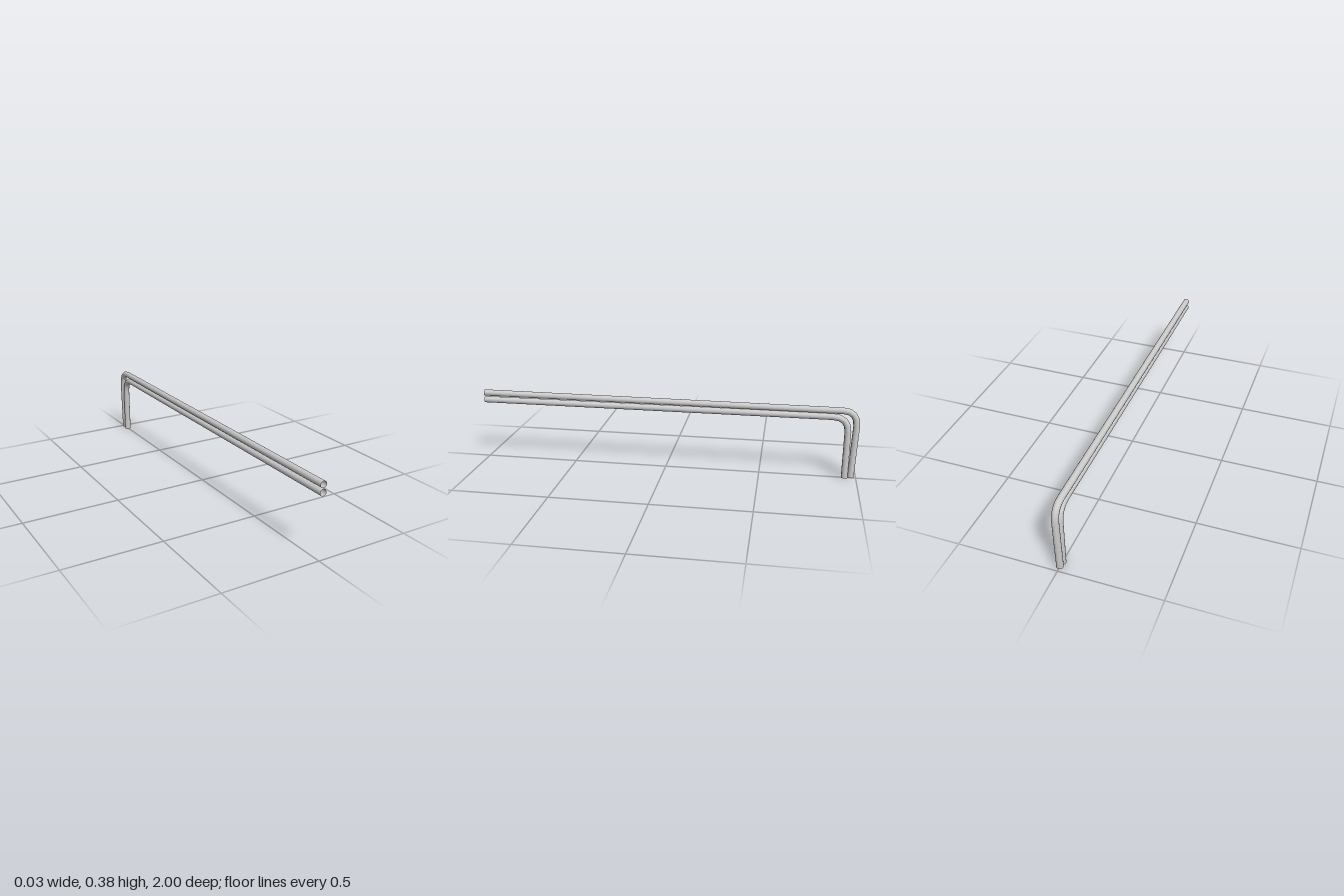
import * as THREE from 'three';

const RADIUS = 0.0168;
const SIDES = 16;

// Sweeps an open tube along [x, y, z] points by bending a cylinder, one ring per point
function bentTube(name, points, material) {
  const path = points.map((p) => new THREE.Vector3(...p));
  const last = path.length - 1;
  const geometry = new THREE.CylinderGeometry(1, 1, 1, SIDES, last, true);
  const position = geometry.attributes.position;
  const normal = geometry.attributes.normal;
  const across = new THREE.Vector3(1, 0, 0);

  for (let ring = 0; ring <= last; ring++) {
    const before = path[Math.max(ring, 1)].clone().sub(path[Math.max(ring, 1) - 1]).normalize();
    const next = Math.min(ring, last - 1);
    const after = path[next + 1].clone().sub(path[next]).normalize();
    const tangent = before.clone().add(after).normalize();
    const up = tangent.clone().cross(across).normalize();
    const mitre = 1 / tangent.dot(after); // keeps the tube's thickness through a bend

    for (let k = 0; k <= SIDES; k++) {
      const i = ring * (SIDES + 1) + k;
      const c = position.getX(i);
      const s = position.getZ(i);
      const n = across.clone().multiplyScalar(c).addScaledVector(up, s);
      const p = path[ring].clone()
        .addScaledVector(across, c * RADIUS)
        .addScaledVector(up, s * RADIUS * mitre);
      position.setXYZ(i, p.x, p.y, p.z);
      normal.setXYZ(i, n.x, n.y, n.z);
    }
  }
  const mesh = new THREE.Mesh(geometry, material);
  mesh.name = name;
  return mesh;
}

// Long run, rounded elbow, then the down leg
function bend(start, end, from, corner, to, steps) {
  const curve = new THREE.QuadraticBezierCurve3(
    ...[from, corner, to].map((p) => new THREE.Vector3(...p)));
  return [start, ...curve.getPoints(steps).map((p) => p.toArray()), end];
}

export function createModel() {
  const group = new THREE.Group();
  group.name = 'bentPipePair';
  const material = new THREE.MeshStandardMaterial({ color: 0xcccccc, side: THREE.DoubleSide });

  // Upper pipe, wrapping outside the elbow, its leg leaning slightly inward
  group.add(bentTube('outerPipe', bend(
    [0, 0.366, 1], [-0.001, 0.004, -0.973],
    [0, 0.362, -0.912], [0, 0.361, -0.983], [0, 0.285, -0.983], 4), material));

  // Lower pipe, nested inside the elbow
  group.add(bentTube('innerPipe', bend(
    [0, 0.328, 1], [0, 0, -0.942],
    [0, 0.328, -0.86], [0, 0.328, -0.941], [0, 0.25, -0.942], 4), material));

  return group;
}
